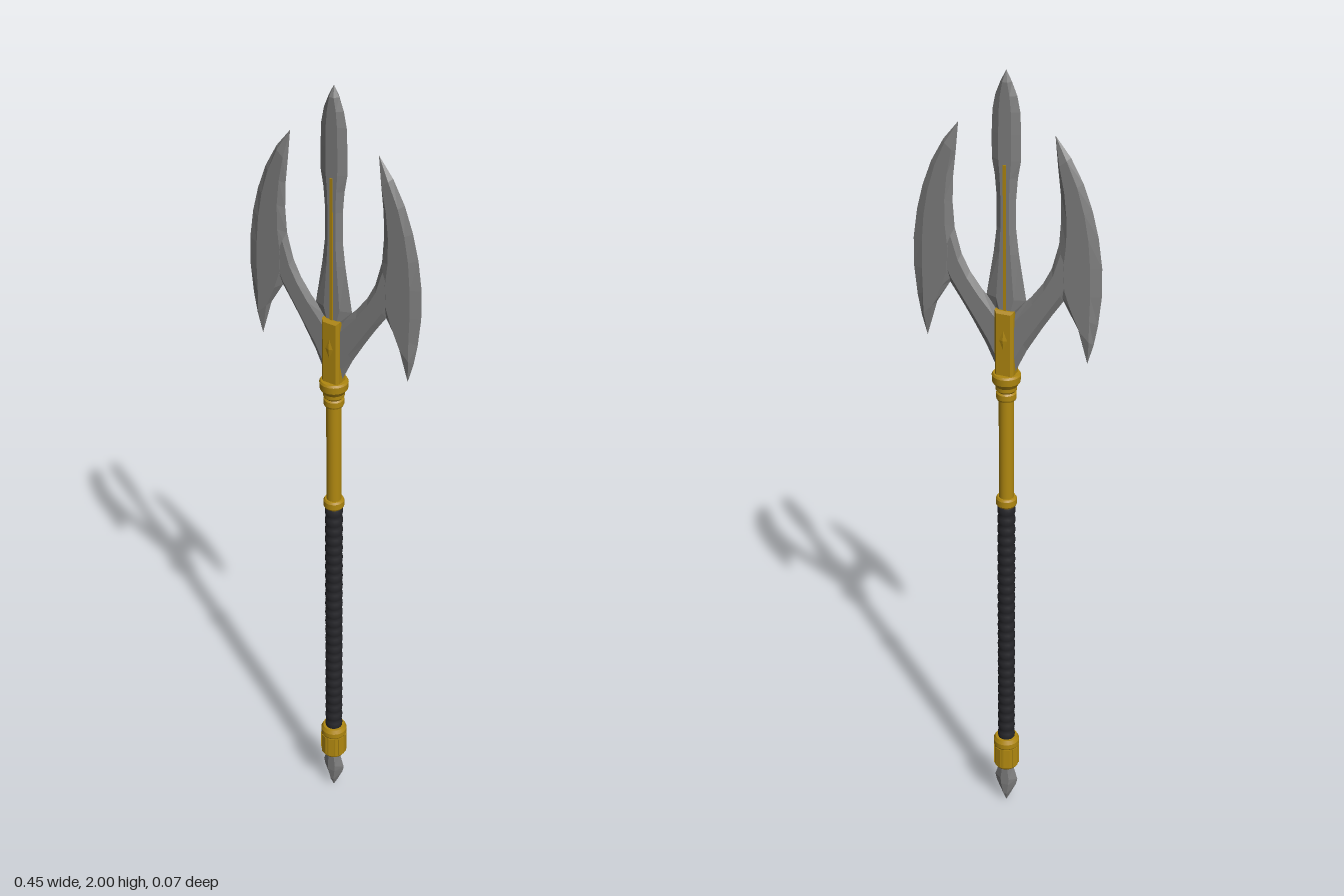
import * as THREE from 'three';

const steel = new THREE.MeshStandardMaterial({ color: 0x808080, flatShading: true, side: THREE.DoubleSide });
const gold = new THREE.MeshStandardMaterial({ color: 0xb08810 });
const goldFlat = new THREE.MeshStandardMaterial({ color: 0xb08810, flatShading: true });
const leather = new THREE.MeshStandardMaterial({ color: 0x26262a });

// Lofts a sharp-edged blade through rows of [edgeX, edgeY, backX, backY], top to bottom.
function bladeGeometry(rows, h, bevel, side = 1) {
  const pos = [], idx = [];
  for (const [ox, oy, ix, iy] of rows) {
    const hz = Math.min(h, 0.4 * Math.hypot(ox - ix, oy - iy));
    const ring = [[0, 0], [bevel, hz], [1 - bevel, hz], [1, 0], [1 - bevel, -hz], [bevel, -hz]];
    for (const [t, z] of ring) pos.push(side * (ox + (ix - ox) * t), oy + (iy - oy) * t, z);
  }
  for (let r = 0; r < rows.length - 1; r++) {
    for (let j = 0; j < 6; j++) {
      const a = r * 6 + j, b = r * 6 + (j + 1) % 6, c = a + 6, d = b + 6;
      if (side > 0) idx.push(a, b, d, a, d, c);
      else idx.push(a, d, b, a, c, d);
    }
  }
  const g = new THREE.BufferGeometry();
  g.setAttribute('position', new THREE.Float32BufferAttribute(pos, 3));
  g.setIndex(idx);
  g.computeVertexNormals();
  return g;
}

const symmetric = (rows) => rows.map(([w, y]) => [w, y, -w, y]);

// Turned part whose profile corners stay crisp: one lathe band per segment.
function turned(name, profile, material) {
  const group = new THREE.Group();
  group.name = name;
  for (let i = 0; i < profile.length - 1; i++) {
    const pts = [profile[i], profile[i + 1]].map(([r, y]) => new THREE.Vector2(r, y));
    group.add(new THREE.Mesh(new THREE.LatheGeometry(pts, 24), material));
  }
  return group;
}

export function createModel() {
  const model = new THREE.Group();
  const add = (name, geometry, material, x = 0, y = 0, z = 0) => {
    const mesh = new THREE.Mesh(geometry, material);
    mesh.name = name;
    mesh.position.set(x, y, z);
    model.add(mesh);
    return mesh;
  };

  // Central spear blade
  add('spearBlade', bladeGeometry(symmetric([
    [0, 2], [0.013, 1.975], [0.025, 1.945], [0.032, 1.91], [0.034, 1.86], [0.034, 1.80],
    [0.027, 1.76], [0.023, 1.71], [0.023, 1.64], [0.03, 1.58], [0.048, 1.47], [0.025, 1.43], [0.012, 1.38],
  ]), 0.01, 0.28), steel);

  // Side axe blades and the arms carrying them
  const crescent = [
    [0.112, 1.87, 0.112, 1.87], [0.148, 1.825, 0.119, 1.80], [0.178, 1.77, 0.126, 1.74],
    [0.2, 1.71, 0.128, 1.68], [0.215, 1.65, 0.124, 1.62], [0.225, 1.58, 0.114, 1.57],
    [0.226, 1.51, 0.118, 1.515], [0.219, 1.44, 0.137, 1.485], [0.21, 1.39, 0.17, 1.43],
    [0.196, 1.34, 0.196, 1.34],
  ];
  const arm = [
    [0.16, 1.53, 0.124, 1.62], [0.137, 1.485, 0.108, 1.56], [0.11, 1.445, 0.088, 1.52],
    [0.085, 1.405, 0.06, 1.482], [0.05, 1.345, 0.02, 1.44], [0.015, 1.27, -0.005, 1.42],
  ];
  for (const [label, s] of [['left', 1], ['right', -1]]) {
    add(label + 'AxeBlade', bladeGeometry(crescent, 0.01, 0.22, s), steel);
    add(label + 'BladeArm', bladeGeometry(arm, 0.0097, 0.2, s), steel);
  }

  // Clasp holding the blades, with bevelled faces
  const plate = new THREE.Shape();
  plate.moveTo(-0.017, 1.26);
  plate.lineTo(0.017, 1.26);
  plate.lineTo(0.017, 1.436);
  plate.lineTo(-0.017, 1.436);
  plate.closePath();
  const claspGeometry = new THREE.ExtrudeGeometry(plate, {
    depth: 0.028, bevelEnabled: true, bevelSegments: 1, bevelSize: 0.006, bevelThickness: 0.006,
  });
  claspGeometry.translate(0, 0, -0.014);
  add('clasp', claspGeometry, goldFlat);

  // Inlaid ridge and stud on both faces
  for (const s of [1, -1]) {
    add('bladeInlay', new THREE.BoxGeometry(0.007, 0.36, 0.004), goldFlat, 0, 1.61, s * 0.0105);
    add('claspStud', new THREE.OctahedronGeometry(1), goldFlat, 0, 1.37, s * 0.02).scale.set(0.01, 0.025, 0.003);
  }

  // Collar, upper shaft and ring
  model.add(turned('collar', [
    [0, 1.21], [0.022, 1.21], [0.024, 1.215], [0.024, 1.228], [0.021, 1.232], [0.025, 1.237],
    [0.025, 1.246], [0.033, 1.258], [0.034, 1.275], [0.031, 1.28], [0, 1.28],
  ], gold));
  add('upperShaft', new THREE.CylinderGeometry(0.018, 0.018, 0.28, 24), gold, 0, 1.075);
  model.add(turned('shaftRing', [
    [0, 0.92], [0.022, 0.92], [0.025, 0.925], [0.025, 0.94], [0.022, 0.945], [0, 0.945],
  ], gold));

  // Wrapped grip with rounded ridges
  const wraps = 25, y0 = 0.21, step = (0.922 - y0) / wraps, grip = [];
  for (let i = 0; i < wraps; i++) {
    for (const [r, t] of [[0.0185, 0], [0.0212, 0.2], [0.022, 0.5], [0.0212, 0.8]]) {
      grip.push(new THREE.Vector2(r, y0 + (i + t) * step));
    }
  }
  grip.push(new THREE.Vector2(0.0185, 0.922));
  add('grip', new THREE.LatheGeometry(grip, 20), leather);

  // Pommel with raised panels around it
  model.add(turned('pommel', [
    [0, 0.122], [0.027, 0.122], [0.031, 0.128], [0.031, 0.19], [0.033, 0.194],
    [0.033, 0.207], [0.028, 0.217], [0, 0.217],
  ], gold));
  for (let i = 0; i < 8; i++) {
    const a = (i / 8) * Math.PI * 2 + Math.PI / 8;
    const panel = add('pommelPanel', new THREE.BoxGeometry(0.016, 0.058, 0.006), goldFlat,
      Math.sin(a) * 0.0295, 0.16, Math.cos(a) * 0.0295);
    panel.rotation.y = a;
  }

  // Butt spike
  add('buttSpike', bladeGeometry(symmetric([
    [0.015, 0.13], [0.02, 0.115], [0.031, 0.078], [0.027, 0.06], [0.012, 0.025], [0, 0],
  ]), 0.013, 0.32), steel);

  return model;
}
